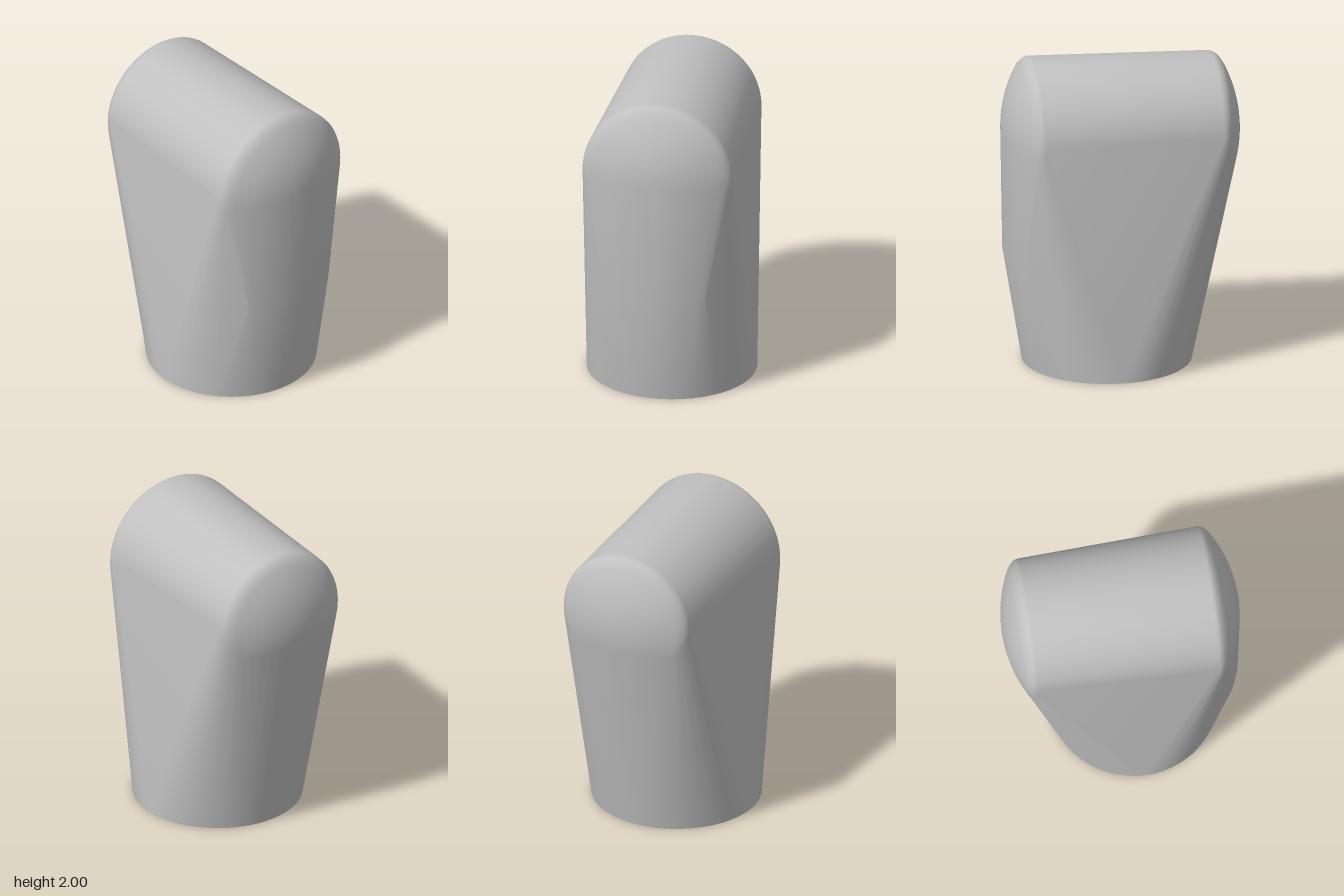
import * as THREE from 'three';
import { ConvexGeometry } from 'three/addons/geometries/ConvexGeometry.js';
import { toCreasedNormals } from 'three/addons/utils/BufferGeometryUtils.js';

const SEGMENTS = 72;
const BARREL_Y = 1.52;

// Domed end of the barrel as (x, radius) pairs, from the tip to the filleted rim
function endProfile(side, domeRadius, domeEdge, rim) {
  const sag = r => domeRadius - Math.sqrt(domeRadius ** 2 - r ** 2);
  const points = [];
  for (let i = 0; i < 8; i++) {
    const r = (domeEdge * i) / 8;
    points.push(new THREE.Vector2(side * (0.75 - sag(r)), r));
  }
  const slope = domeEdge / Math.sqrt(domeRadius ** 2 - domeEdge ** 2);
  const edgeX = 0.75 - sag(domeEdge);
  const fillet = new THREE.QuadraticBezierCurve(
    new THREE.Vector2(side * edgeX, domeEdge),
    new THREE.Vector2(side * (edgeX - slope * (rim.y - domeEdge)), rim.y),
    new THREE.Vector2(side * rim.x, rim.y)
  );
  return points.concat(fillet.getPoints(8));
}

export function createModel() {
  const model = new THREE.Group();
  model.name = 'taperedBlock';
  const grey = new THREE.MeshStandardMaterial({ color: 0xc0c0c0 });
  grey.name = 'grey';

  const points = [];

  // Round foot
  for (let i = 0; i < SEGMENTS; i++) {
    const a = (i / SEGMENTS) * Math.PI * 2;
    points.push(new THREE.Vector3(0.085 + 0.535 * Math.cos(a), 0, 0.535 * Math.sin(a)));
  }

  // Horizontal barrel, slightly wider at +x, with domed ends
  const profile = [
    ...endProfile(-1, 0.85, 0.37, new THREE.Vector2(0.58, 0.443)),
    ...endProfile(1, 0.82, 0.41, new THREE.Vector2(0.56, 0.48)),
  ];
  for (const p of profile) {
    const count = p.y === 0 ? 1 : SEGMENTS;
    for (let i = 0; i < count; i++) {
      const a = (i / SEGMENTS) * Math.PI * 2;
      points.push(new THREE.Vector3(p.x, BARREL_Y + p.y * Math.cos(a), p.y * Math.sin(a)));
    }
  }

  // Curved knee on the +x side
  for (let i = -8; i <= 8; i++) {
    const z = 0.04 * i;
    points.push(new THREE.Vector3(0.06 + Math.sqrt(0.68 ** 2 - z ** 2), 0.73, z));
  }

  // One taut skin around foot, knee and barrel
  const body = new THREE.Mesh(toCreasedNormals(new ConvexGeometry(points), 0.3), grey);
  body.name = 'body';
  model.add(body);
  return model;
}
